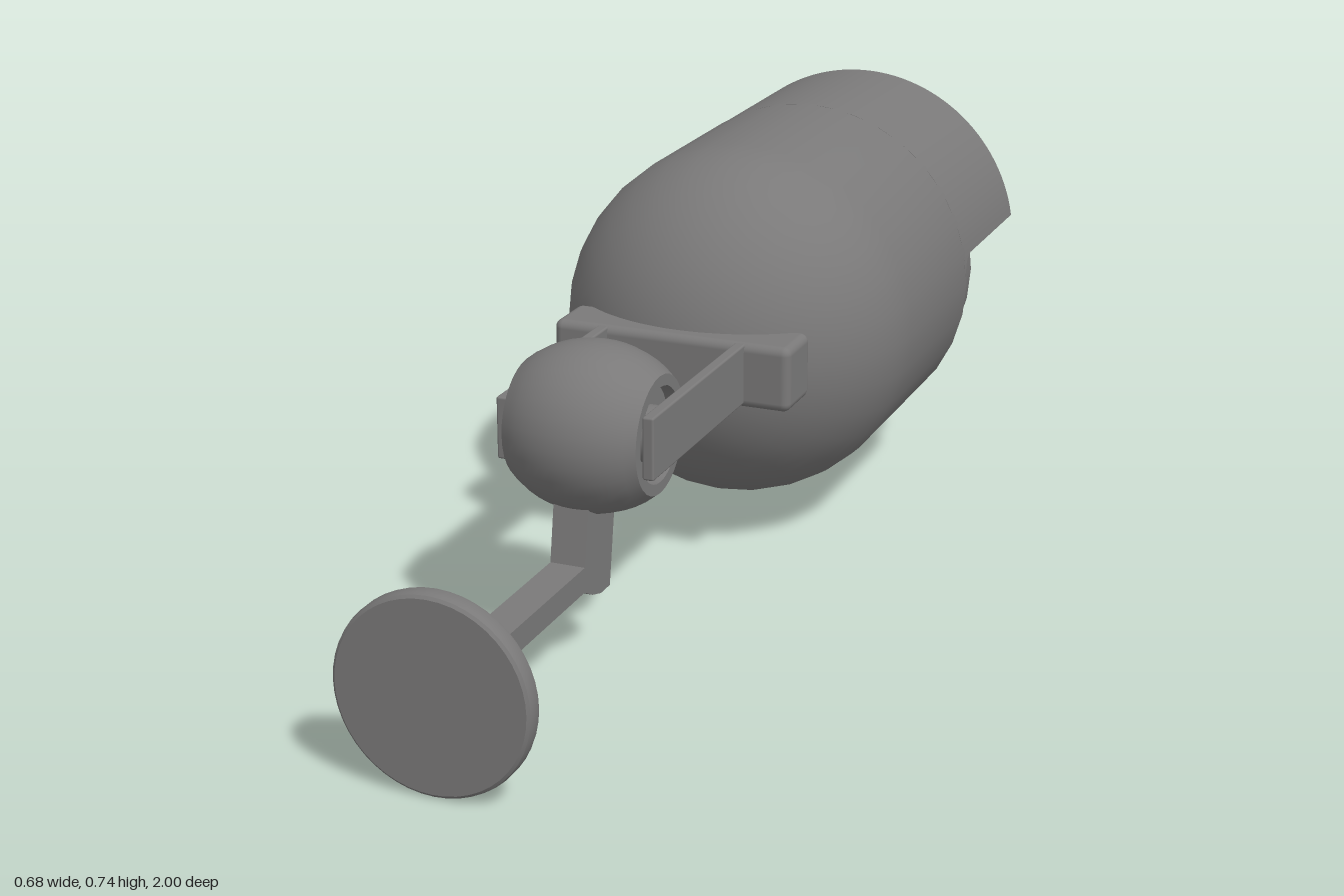
import * as THREE from 'three';
import { toCreasedNormals } from 'three/addons/utils/BufferGeometryUtils.js';
import { RoundedBoxGeometry } from 'three/addons/geometries/RoundedBoxGeometry.js';

const material = new THREE.MeshStandardMaterial({ color: 0x7a7979 });
const AXIS_Y = 0.405; // height of the housing axis
const MOUNT_X = -0.007; // the mount sits slightly off the housing axis

function add(group, name, geometry, x = 0, y = 0, z = 0) {
  const mesh = new THREE.Mesh(geometry, material);
  mesh.name = name;
  mesh.position.set(x, y, z);
  group.add(mesh);
  return mesh;
}

// Profile given as [radius, height along the axis]
function lathe(points, segments = 32, crease = 0.6) {
  const g = new THREE.LatheGeometry(points.map(([r, t]) => new THREE.Vector2(r, t)), segments);
  return toCreasedNormals(g, crease);
}

// Curved hood: one four-corner section per angle, with a fillet where it meets the housing
function hoodGeometry() {
  const outer = 0.338, inner = 0.315, start = -0.655;
  const edge = Math.asin(0.055 / outer), foot = Math.asin(0.015 / outer);
  const sections = [];
  for (let i = 0; i <= 6; i++) {
    const a = foot + (edge - foot) * i / 6;
    const h = outer * Math.sin(a) - 0.015;
    sections.push([a, -0.70 + Math.sqrt(Math.max(0, 0.0016 - h * h))]);
  }
  for (let i = 0; i <= 28; i++) sections.push([edge + (Math.PI / 2 - edge) * i / 28, -1]);
  // Mirror to the other side
  const all = [...sections, ...sections.slice(0, -1).reverse().map(([a, z]) => [Math.PI - a, z])];
  const positions = [], index = [];
  for (const [a, end] of all) {
    for (const [r, z] of [[outer, start], [outer, end], [inner, end], [inner, start]]) {
      positions.push(r * Math.cos(a), r * Math.sin(a), z);
    }
  }
  for (let i = 0; i < all.length - 1; i++) {
    for (let k = 0; k < 4; k++) {
      const a = i * 4 + k, b = i * 4 + (k + 1) % 4;
      index.push(a, a + 4, b, b, a + 4, b + 4);
    }
  }
  const last = (all.length - 1) * 4;
  index.push(0, 1, 2, 0, 2, 3, last, last + 2, last + 1, last, last + 3, last + 2);
  const g = new THREE.BufferGeometry();
  g.setAttribute('position', new THREE.Float32BufferAttribute(positions, 3));
  g.setIndex(index);
  return toCreasedNormals(g, 0.6);
}

export function createModel() {
  const model = new THREE.Group();
  model.name = 'securityCamera';

  // Housing: round dome and straight barrel
  const shell = [];
  for (let i = 0; i <= 14; i++) {
    const a = (i / 14) * Math.PI / 2;
    shell.push([0.339 * Math.sin(a), 0.30 - 0.333 * Math.cos(a)]);
  }
  shell.push([0.339, 0.662], [0.30, 0.662]);
  add(model, 'housing', lathe(shell).rotateX(-Math.PI / 2), 0, AXIS_Y);

  // Lens end: stepped ring, deep recess and hollow lens barrel
  const lensEnd = [
    [0.318, 0.64], [0.318, 0.762], [0.315, 0.772], [0.308, 0.779], [0.298, 0.782], [0.237, 0.782],
    [0.237, 0.805], [0.232, 0.81], [0.216, 0.81], [0.207, 0.68], [0.197, 0.658], [0.18, 0.645],
    [0.15, 0.64], [0.10, 0.64], [0.10, 0.77], [0.076, 0.77], [0.068, 0.69], [0, 0.69]
  ];
  add(model, 'lensEnd', lathe(lensEnd).rotateX(-Math.PI / 2), 0, AXIS_Y);

  const hood = add(model, 'hood', hoodGeometry(), 0, AXIS_Y);
  hood.material = material.clone();
  hood.material.side = THREE.DoubleSide;

  // Yoke: crossbar against the dome and two arms
  add(model, 'yokeCrossbar', new RoundedBoxGeometry(0.462, 0.122, 0.112, 3, 0.016), MOUNT_X, 0.412, 0.001);
  for (const side of [1, -1]) {
    const name = side > 0 ? 'left' : 'right';
    add(model, name + 'YokeArm', new RoundedBoxGeometry(0.021, 0.112, 0.44, 2, 0.004),
      MOUNT_X + side * 0.134, 0.415, 0.25);
    add(model, name + 'Pivot', new THREE.CylinderGeometry(0.05, 0.05, 0.04, 24).rotateZ(Math.PI / 2),
      MOUNT_X + side * 0.112, 0.412, 0.39);
  }

  // Ball joint with flat, recessed sides
  const ball = [[0, -0.10], [0.085, -0.10], [0.085, -0.123]];
  for (let i = 0; i <= 14; i++) {
    const x = -0.123 + 0.246 * i / 14;
    ball.push([0.15 * Math.sqrt(1 - (x / 0.172) ** 2), x]);
  }
  ball.push([0.085, 0.123], [0.085, 0.10], [0, 0.10]);
  add(model, 'ballJoint', lathe(ball).rotateZ(-Math.PI / 2), MOUNT_X, 0.412, 0.39);

  // Bent strut, drawn in side profile as [z, y]
  const strut = new THREE.Shape([
    [0.97, 0.195], [0.495, 0.195], [0.475, 0.32], [0.36, 0.32], [0.392, 0.122],
    [0.43, 0.122], [0.465, 0.133], [0.497, 0.15], [0.97, 0.15]
  ].map(([z, y]) => new THREE.Vector2(-z, y)));
  const strutGeometry = new THREE.ExtrudeGeometry(strut, { depth: 0.064, bevelEnabled: false });
  strutGeometry.translate(0, 0, -0.032).rotateY(Math.PI / 2);
  add(model, 'strut', strutGeometry, -0.011);

  // Wall plate: thin flat disc with softened rims
  const plate = [
    [0, 0.962], [0.165, 0.962], [0.17, 0.966], [0.172, 0.973],
    [0.172, 0.989], [0.17, 0.996], [0.165, 1], [0, 1]
  ];
  add(model, 'wallPlate', lathe(plate, 48).rotateX(Math.PI / 2), -0.011, 0.174);

  return model;
}
